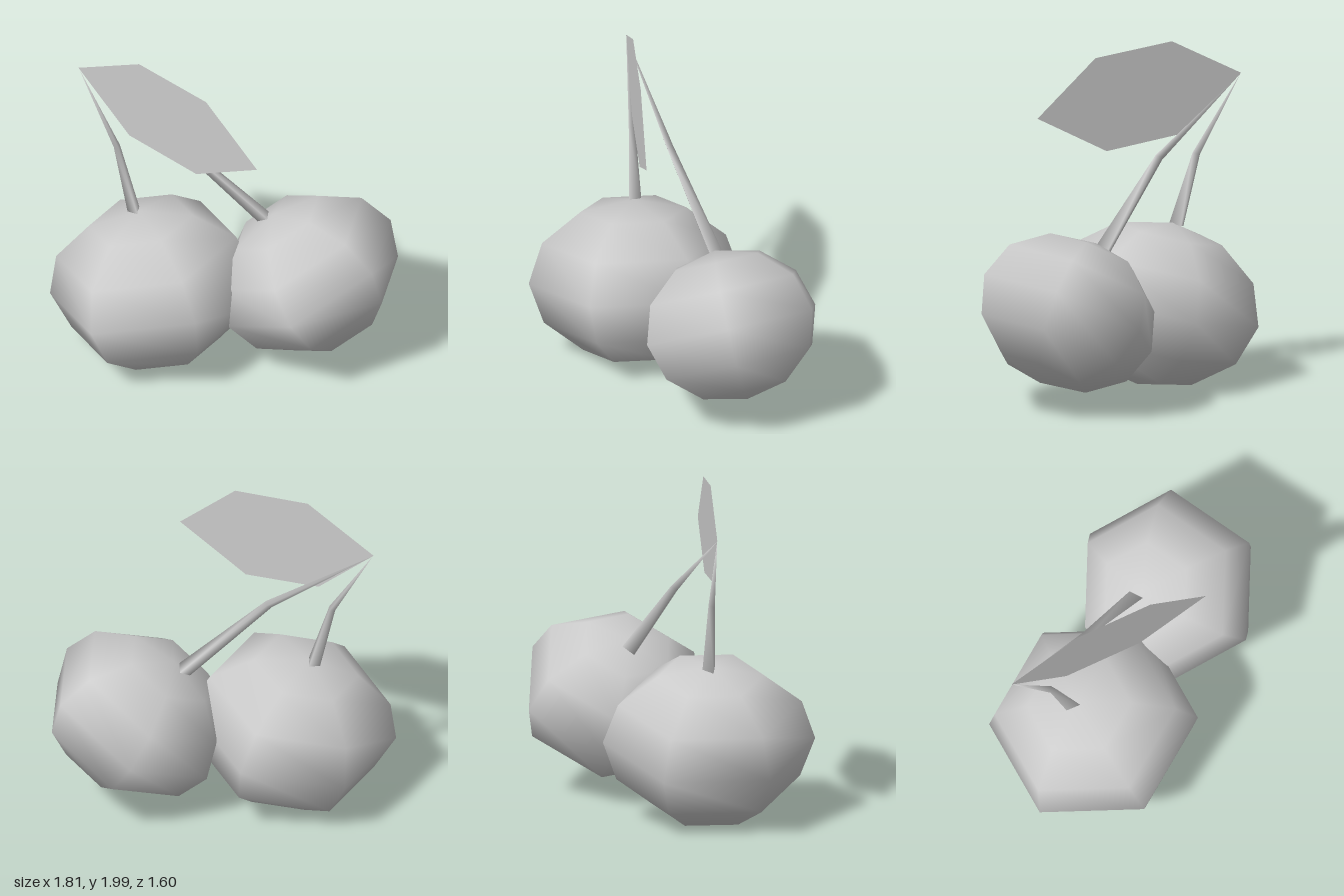
import * as THREE from 'three';

const V = (x, y, z) => new THREE.Vector3(x, y, z);
const solid = new THREE.MeshStandardMaterial({ color: 0xcccccc });
const open = new THREE.MeshStandardMaterial({ color: 0xcccccc, side: THREE.DoubleSide });

// Six-sided flattened ball: "up" points to its stem end, "corner" to one equator vertex
function cherry(name, center, radius, up, corner) {
  const y = up.clone().normalize();
  const x = corner.clone().addScaledVector(y, -corner.dot(y)).normalize();
  const z = x.clone().cross(y);
  const mesh = new THREE.Mesh(new THREE.SphereGeometry(1, 6, 6), solid);
  mesh.name = name;
  mesh.position.copy(center);
  mesh.quaternion.setFromRotationMatrix(new THREE.Matrix4().makeBasis(x, y, z));
  mesh.scale.set(radius, radius * 0.78, radius);
  return mesh;
}

// Three-sided stem: a point at the tip, a thin ring at the bend, a wide ring at the base
function stem(name, tip, bend, base) {
  const mid = V(0, 0, 0);
  base.forEach((p) => mid.addScaledVector(p, 1 / 3));
  const ring = base.map((p) => p.clone().sub(mid).multiplyScalar(0.52).add(bend));
  const index = [];
  for (let i = 0; i < 3; i++) {
    const j = (i + 1) % 3;
    index.push(0, 1 + i, 1 + j);
    index.push(1 + i, 4 + i, 4 + j, 1 + i, 4 + j, 1 + j);
  }
  const geo = new THREE.BufferGeometry().setFromPoints([tip, ...ring, ...base]);
  geo.setIndex(index);
  geo.computeVertexNormals();
  const mesh = new THREE.Mesh(geo, open);
  mesh.name = name;
  return mesh;
}

export function createModel() {
  const group = new THREE.Group();
  group.name = 'cherries';

  // Fruits
  group.add(cherry('rightCherry', V(-0.37, 0.475, 0.19), 0.61, V(-0.23, 0.973, 0), V(0, 0, 1)));
  group.add(cherry('leftCherry', V(0.375, 0.575, -0.295), 0.558,
    V(-0.47, 0.865, 0.17), V(-0.235, -0.028, -0.505)));

  // Stems, meeting at the leaf's point
  const tip = V(-0.9, 1.775, 0.19);
  group.add(stem('rightStem', tip, V(-0.63, 1.33, 0.187),
    [V(-0.51, 0.925, 0.14), V(-0.55, 0.91, 0.2), V(-0.47, 0.935, 0.215)]));
  group.add(stem('leftStem', tip, V(-0.32, 1.37, 0),
    [V(0.11, 0.92, -0.265), V(0.08, 0.875, -0.2), V(0.155, 0.93, -0.19)]));

  // Flat leaf
  const outline = [[-0.905, 1.78], [-0.545, 1.455], [-0.07, 1.39], [0.36, 1.615], [0, 1.94], [-0.475, 2]];
  const shape = new THREE.Shape(outline.map(([x, y]) => new THREE.Vector2(x, y)));
  const leaf = new THREE.Mesh(new THREE.ShapeGeometry(shape), open);
  leaf.name = 'leaf';
  leaf.position.z = 0.19;
  group.add(leaf);

  return group;
}
